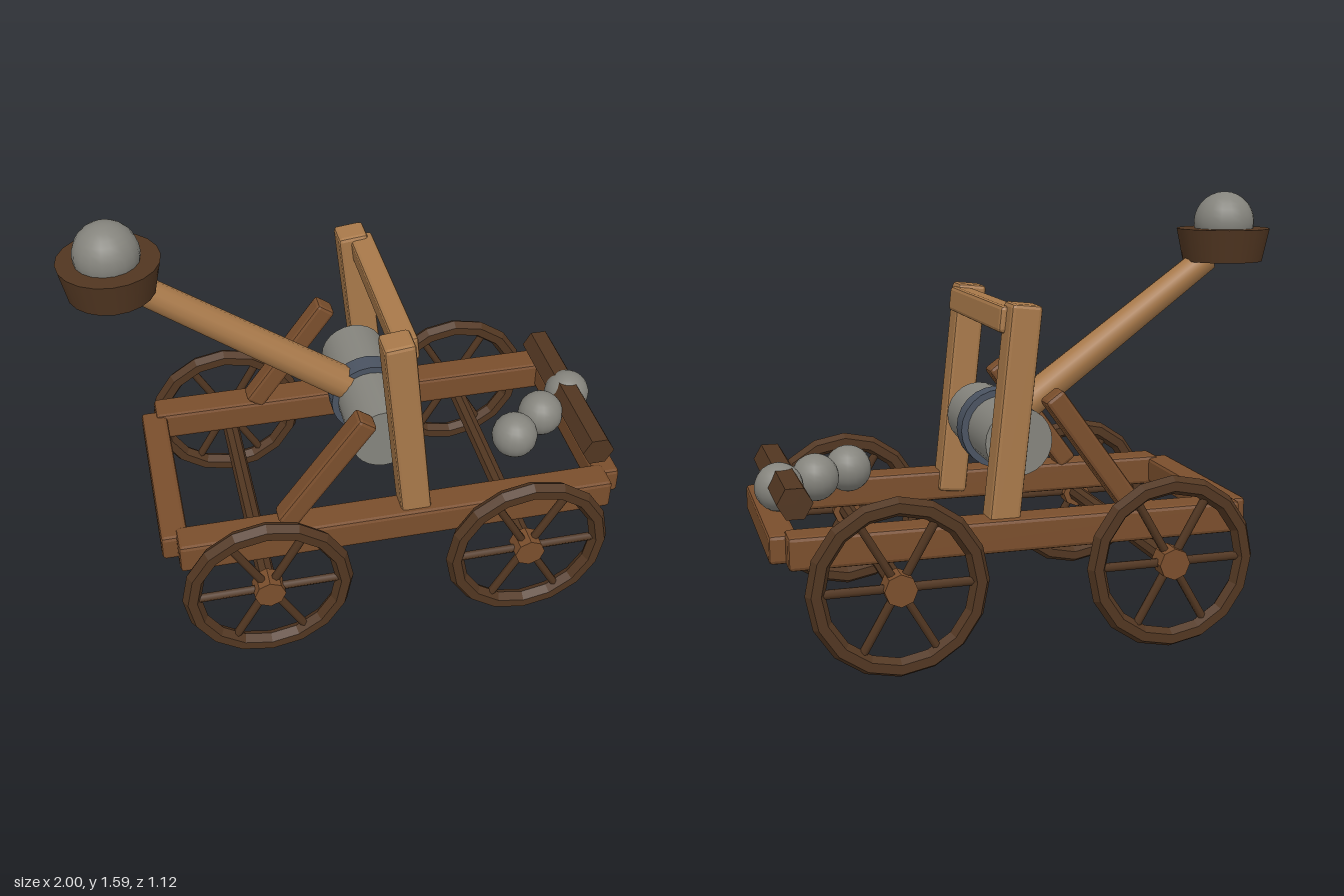
import * as THREE from 'three';
import { RoundedBoxGeometry } from 'three/addons/geometries/RoundedBoxGeometry.js';

const material = (name, color) => {
  const m = new THREE.MeshStandardMaterial({ color });
  m.name = name;
  return m;
};

// Give a geometry one normal per face
function faceted(geometry) {
  const g = geometry.index ? geometry.toNonIndexed() : geometry;
  g.computeVertexNormals();
  return g;
}

export function createModel() {
  const model = new THREE.Group();
  model.name = 'catapult';

  const frameWood = material('frame wood', 0x7a4e2c);
  const paleWood = material('pale wood', 0xa8794a);
  const darkWood = material('dark wood', 0x513621);
  const stone = material('stone', 0x85847d);
  const iron = material('iron', 0x4a5361);

  function add(name, geometry, mat, x, y, z, parent = model) {
    const mesh = new THREE.Mesh(geometry, mat);
    mesh.name = name;
    mesh.position.set(x, y, z);
    parent.add(mesh);
    return mesh;
  }

  // Timber with chamfered edges, tilted about z
  function beam(name, mat, [w, h, d], [x, y, z], tilt = 0) {
    const mesh = add(name, faceted(new RoundedBoxGeometry(w, h, d, 1, 0.014)), mat, x, y, z);
    mesh.rotation.z = tilt;
    return mesh;
  }

  // Cylinder lying along z, with a corner pointing to +x
  const rod = (radius, length, sides) =>
    new THREE.CylinderGeometry(radius, radius, length, sides).rotateY(Math.PI / 2).rotateX(Math.PI / 2);

  const ball = (name, radius, x, y, z) =>
    add(name, new THREE.SphereGeometry(radius, 18, 14), stone, x, y, z);

  // Chassis
  for (const s of [1, -1]) {
    const side = s > 0 ? 'front' : 'back';
    beam(side + 'Rail', frameWood, [1.64, 0.118, 0.12], [0.11, 0.436, s * 0.38]);
    beam(side + 'Post', paleWood, [0.112, 0.83, 0.11], [0.137, 0.824, s * 0.36], 0.109);
    beam(side + 'Brace', frameWood, [0.52, 0.08, 0.08], [-0.16, 0.703, s * 0.36], 0.943);
  }
  beam('rightCrossBeam', frameWood, [0.1, 0.102, 0.74], [-0.717, 0.436, 0]);
  beam('leftCrossBeam', frameWood, [0.1, 0.102, 0.74], [0.936, 0.436, 0]);
  beam('topCrossBar', paleWood, [0.088, 0.095, 0.71], [0.132, 1.178, 0], 0.109);

  // Wheels and axles
  const rim = faceted(new THREE.TorusGeometry(0.281, 0.034, 6, 16));
  const spoke = new THREE.CylinderGeometry(0.016, 0.016, 0.55, 6);
  const hub = faceted(rod(0.057, 0.08, 8));
  for (const x of [-0.405, 0.577]) {
    add('axle', faceted(rod(0.033, 1.0, 8)), darkWood, x, 0.318, 0);
    for (const s of [1, -1]) {
      const wheel = new THREE.Group();
      wheel.name = 'wheel';
      wheel.position.set(x, 0.318, s * 0.52);
      model.add(wheel);
      add('rim', rim, darkWood, 0, 0, 0, wheel);
      add('hub', hub, frameWood, 0, 0, 0, wheel);
      for (let i = 0; i < 3; i++) {
        add('spokePair', spoke, darkWood, 0, 0, 0, wheel).rotation.z = Math.PI / 2 + (i * Math.PI) / 3;
      }
    }
  }

  // Winding drum with iron band
  add('drum', rod(0.124, 0.554, 24), stone, 0.083, 0.732, 0);
  add('drumBand', rod(0.149, 0.073, 24), iron, 0.083, 0.732, 0);

  // Throwing arm, tapering from the drum to the cup
  const foot = new THREE.Vector3(0.083, 0.732, 0);
  const tip = new THREE.Vector3(-0.754, 1.345, 0);
  const along = tip.clone().sub(foot);
  const middle = foot.clone().add(tip).multiplyScalar(0.5);
  const arm = add('throwingArm', new THREE.CylinderGeometry(0.051, 0.064, along.length(), 12),
    paleWood, middle.x, middle.y, 0);
  arm.quaternion.setFromUnitVectors(new THREE.Vector3(0, 1, 0), along.normalize());

  // Cup and its load
  add('cup', new THREE.CylinderGeometry(0.178, 0.152, 0.124, 20), darkWood, -0.822, 1.395, 0);
  ball('loadedStone', 0.115, -0.825, 1.481, 0);

  // Spare stones and the log behind them
  ball('spareStone', 0.088, 0.622, 0.571, 0.173);
  ball('spareStone', 0.088, 0.762, 0.571, 0.067);
  ball('spareStone', 0.088, 0.907, 0.571, -0.037);
  add('log', faceted(rod(0.062, 0.714, 6)), darkWood, 0.892, 0.588, 0);

  return model;
}
